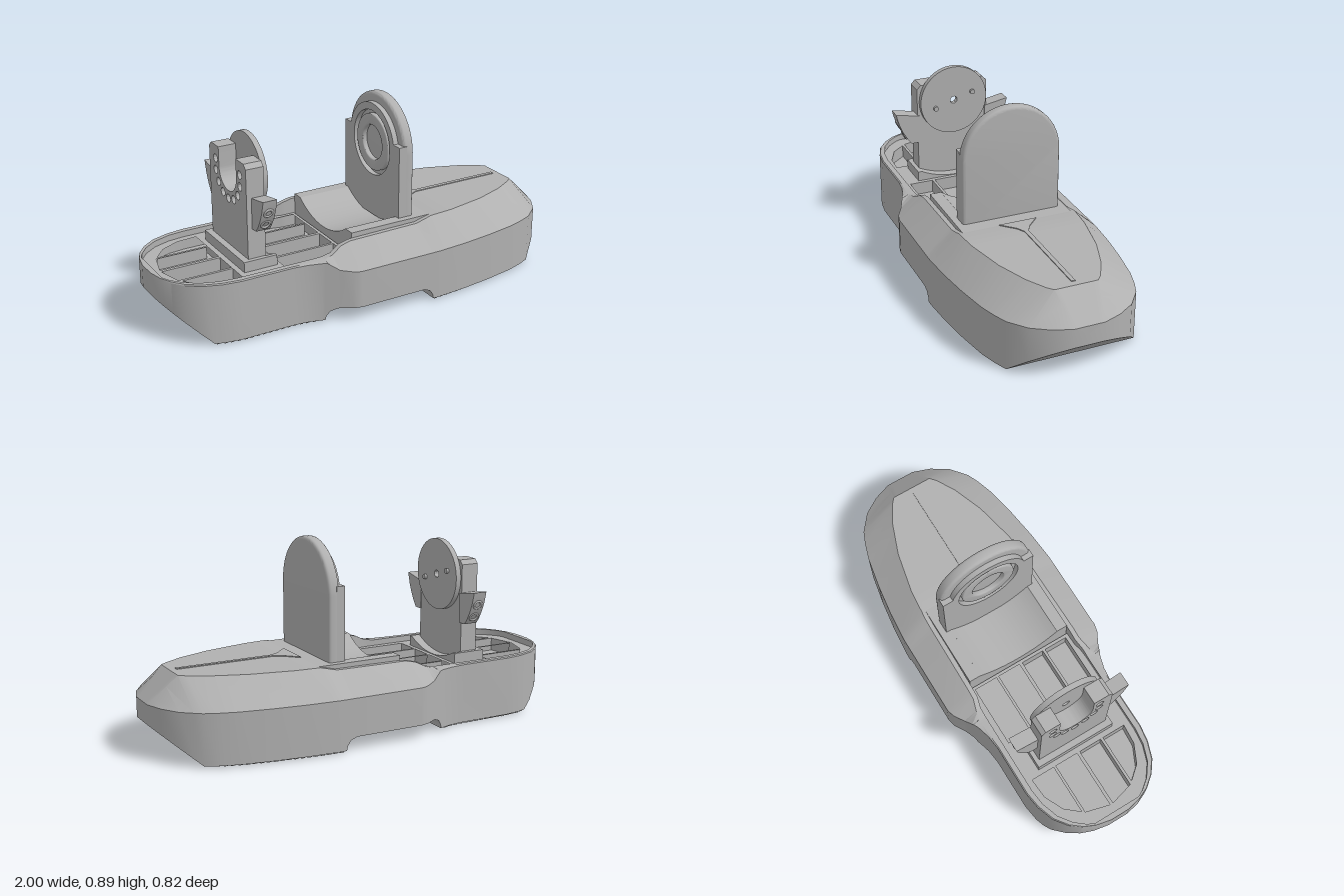
import * as THREE from 'three';
import { toCreasedNormals } from 'three/addons/utils/BufferGeometryUtils.js';

const grey = new THREE.MeshStandardMaterial({ color: 0xb0b0b0 });
grey.name = 'plain grey';

const AXIS = 0.655; // height of the shared axis of disc, ring and cradle

// Profile tables along x: [x, value]
const WALL = [[-1, .05], [-.985, .12], [-.96, .175], [-.92, .225], [-.86, .27], [-.78, .298], [-.7, .31], [-.45, .31],
  [-.38, .318], [-.32, .335], [-.25, .37], [-.2, .4], [-.16, .41], [.25, .41], [.4, .398], [.55, .378], [.7, .35],
  [.78, .325], [.84, .3], [.92, .235], [.97, .155], [1, .07]];
const TOP_EDGE = [[-.45, .305], [-.38, .31], [-.3, .315], [-.25, .305], [-.2, .29], [.25, .285], [.4, .272], [.6, .23],
  [.75, .175], [.84, .125], [.87, .1], [1, .07]];
const BOTTOM = [[-1, .18], [-.82, .008], [-.31, .008], [-.305, .03], [-.29, .052], [-.26, .065], [.17, .065], [.2, .052],
  [.215, .03], [.22, .008], [.84, .008], [1, .148]];
const TOP = [[-1, .29], [-.3, .29], [-.25, .3], [-.2, .325], [-.15, .337], [.2, .34], [.24, .35], [.28, .36], [.87, .36], [1, .24]];
const CREASE = [[-1, .285], [-.3, .285], [-.25, .25], [-.18, .24], [1, .24]];

function at(table, x) {
  let i = 1;
  while (i < table.length - 1 && table[i][0] < x) i++;
  const [a, b] = [table[i - 1], table[i]];
  const t = THREE.MathUtils.clamp((x - a[0]) / (b[0] - a[0]), 0, 1);
  return a[1] + (b[1] - a[1]) * t;
}
const topEdge = x => (x < -.45 ? at(WALL, x) - .005 : at(TOP_EDGE, x));
const inner = x => Math.min(topEdge(x) - .022, .28);

function mesh(name, geometry, parent) {
  const m = new THREE.Mesh(geometry, grey);
  m.name = name;
  parent.add(m);
  return m;
}
const poly = pts => new THREE.Shape(pts.map(p => new THREE.Vector2(p[0], p[1])));
const mirrored = half => [...half, ...half.slice().reverse().map(([a, b]) => [-a, b])];
function circleHole(shape, x, y, r) {
  const p = new THREE.Path();
  p.absarc(x, y, r, 0, Math.PI * 2, true);
  shape.holes.push(p);
}
// Shape drawn in (x, z), hanging down from a top height
const slab = (shape, top, depth) =>
  new THREE.ExtrudeGeometry(shape, { depth, bevelEnabled: false }).rotateX(Math.PI / 2).translate(0, top, 0);
// Shape drawn in (-z, y), extruded along x
function alongX(shape, x0, x1, bevel = 0) {
  const g = new THREE.ExtrudeGeometry(shape, {
    depth: x1 - x0 - 2 * bevel, curveSegments: 32, bevelEnabled: bevel > 0,
    bevelSize: bevel, bevelThickness: bevel, bevelOffset: -bevel, bevelSegments: 3,
  }).rotateY(Math.PI / 2).translate(x0 + bevel, 0, 0);
  return toCreasedNormals(g, .6);
}

// Hull lofted from cross-sections, with a sunken tray between two x positions
function hullGeometry() {
  const from = -.975, to = .15;
  const xs = new Set([WALL, TOP_EDGE, BOTTOM, TOP, CREASE].flatMap(t => t.map(p => p[0])));
  const stations = [...xs].map(x => [x, x > from && x < to]);
  stations.push([from, false], [from, true], [to, true], [to, false]);
  stations.sort((a, b) => a[0] - b[0] || (a[0] === from ? a[1] - b[1] : b[1] - a[1]));
  const pos = [], idx = [];
  let n = 0;
  for (const [x, sunk] of stations) {
    const w = at(WALL, x), yb = at(BOTTOM, x), yt = at(TOP, x), wi = Math.max(inner(x), .01);
    const yd = sunk ? .2 : yt;
    const half = [[w, yb], [w, at(CREASE, x)], [topEdge(x), yt], [wi, yt], [wi, yd]];
    const ring = mirrored(half);
    n = ring.length;
    ring.forEach(([z, y]) => pos.push(x, y, z));
  }
  const rows = stations.length;
  for (let i = 0; i < rows - 1; i++) for (let j = 0; j < n; j++) {
    const a = i * n + j, b = i * n + (j + 1) % n;
    idx.push(a, a + n, b, b, a + n, b + n);
  }
  // End caps
  const last = (rows - 1) * n, c = pos.length / 3;
  pos.push(-1, .235, 0, 1, .2, 0);
  for (let j = 0; j < n; j++) {
    const k = (j + 1) % n;
    idx.push(c, j, k, c + 1, last + k, last + j);
  }
  const g = new THREE.BufferGeometry();
  g.setAttribute('position', new THREE.Float32BufferAttribute(pos, 3));
  g.setIndex(idx);
  return toCreasedNormals(g, .45);
}

function addBase(root) {
  mesh('hull', hullGeometry(), root);

  // Ribbed tray with open cells
  const edge = [-.972, -.96, -.92, -.86, -.78, -.7, -.45, -.3, -.135].map(x => [x, inner(x) + .002]);
  const tray = poly([...edge, ...edge.slice().reverse().map(([x, z]) => [x, -z])]);
  const cells = [
    [[-.45, .008], [-.15, .008], [-.15, .122], [-.45, .122]],
    [[-.45, .135], [-.15, .135], [-.15, .25], [-.45, .25]],
    [[-.935, .008], [-.655, .008], [-.655, .122], [-.905, .122]],
    [[-.895, .135], [-.655, .135], [-.655, .25], [-.75, .243], [-.84, .2]],
  ];
  for (const s of [1, -1]) for (const cell of cells)
    tray.holes.push(new THREE.Path(cell.map(([x, z]) => new THREE.Vector2(x, z * s))));
  mesh('ribbedTray', slab(tray, .262, .065), root);

  // Curved cradle and the raised pad behind it
  const r = .362, a = Math.asin(.21 / r);
  const cradle = new THREE.Shape();
  cradle.moveTo(-.265, .2).lineTo(.265, .2).lineTo(.265, .36).lineTo(.21, .36);
  cradle.absarc(0, AXIS, r, -Math.PI / 2 + a, -Math.PI / 2 - a, true);
  cradle.lineTo(-.265, .36);
  mesh('cradle', alongX(cradle, -.13, .15), root);
  mesh('pad', new THREE.BoxGeometry(.13, .06, .53).translate(.215, .33, 0), root);

  // Tapered spine on the nose
  const spine = [[.28, .09], [.31, .06], [.34, .03], [.38, .01], [.84, .009]];
  mesh('spine', slab(poly([...spine, ...spine.slice().reverse().map(([x, z]) => [x, -z])]), .364, .008), root);

  // Zigzag tread under both feet
  const tread = new THREE.Group();
  tread.name = 'tread';
  root.add(tread);
  for (const [x0, x1] of [[-.81, -.35], [.23, .8]]) for (let x = x0; x < x1; x += .03) {
    const w = Math.min(at(WALL, x), at(WALL, x + .04)) - .008, front = [], back = [];
    for (let i = 0; i <= 14; i++) {
      const z = -w + 2 * w * i / 14, dx = i % 2 ? .022 : 0;
      front.push([x + dx, z]);
      back.unshift([x + dx + .016, z]);
    }
    mesh('treadRib', slab(poly([...front, ...back]), .009, .009), tread);
  }
  for (const x of [-.1, .07]) for (const z of [-.14, .14])
    mesh('footScrew', new THREE.CylinderGeometry(.028, .028, .01, 24).translate(x, .064, z), root);
}

function addBackPlate(root) {
  const arch = (half, spring, radius) => {
    const s = new THREE.Shape();
    s.moveTo(-half, .3).lineTo(half, .3).lineTo(half, spring);
    const a = Math.max(0, Math.asin((spring - AXIS) / radius));
    s.absarc(0, AXIS, radius, a, Math.PI - a, false);
    s.lineTo(-half, spring);
    return s;
  };
  mesh('backPlate', alongX(arch(.235, AXIS, .235), .16, .213, .014), root);
  const facing = arch(.235, .7, .19);
  circleHole(facing, 0, AXIS, .155);
  mesh('plateFacing', alongX(facing, .135, .175), root);
  const ring = new THREE.Shape();
  ring.absarc(0, AXIS, .135, 0, Math.PI * 2, false);
  circleHole(ring, 0, AXIS, .082);
  mesh('bearingRing', alongX(ring, .137, .165, .006), root);
}

function addPost(root) {
  // Post with a U notch and a ring of holes
  const post = new THREE.Shape();
  post.moveTo(-.18, .22).lineTo(.18, .22).lineTo(.18, .725).lineTo(.16, .745).lineTo(.085, .745).lineTo(.085, AXIS);
  post.absarc(0, AXIS, .085, 0, Math.PI, true);
  post.lineTo(-.085, .745).lineTo(-.16, .745).lineTo(-.18, .725);
  for (let i = 0; i < 9; i++) {
    const t = Math.PI * (1 + (i - .5) / 7);
    circleHole(post, Math.cos(t) * .122, AXIS + Math.sin(t) * .122, .019);
  }
  mesh('post', alongX(post, -.6, -.515), root);

  // Foot, hollowed towards the cradle
  mesh('postFoot', new THREE.BoxGeometry(.11, .11, .4).translate(-.575, .255, 0), root);
  const r = .39, a = Math.acos((AXIS - .31) / r), foot = new THREE.Shape();
  foot.moveTo(-.2, .2).lineTo(.2, .2).lineTo(.2, .31);
  foot.absarc(0, AXIS, r, -Math.PI / 2 + a, -Math.PI / 2 - a, true);
  foot.lineTo(-.2, .31);
  mesh('hollowFoot', alongX(foot, -.52, -.47), root);

  // Disc with a centre hole and two pins
  const disc = new THREE.Shape();
  disc.absarc(0, AXIS, .17, 0, Math.PI * 2, false);
  circleHole(disc, 0, AXIS, .018);
  mesh('disc', alongX(disc, -.516, -.49), root);
  for (const s of [1, -1])
    mesh('discPin', new THREE.CylinderGeometry(.012, .012, .02, 16).rotateZ(Math.PI / 2)
      .translate(-.488, AXIS - s * .03, s * .095), root);

  // Side lugs with two screws each
  for (const s of [1, -1]) {
    const lug = poly([[.17, .45], [.215, .45], [.235, .475], [.258, .515], [.275, .555], [.285, .59], [.29, .612], [.17, .59]]
      .map(([z, y]) => [-z * s, y]));
    mesh('sideLug', alongX(lug, -.577, -.51), root);
    for (const [y, z] of [[.55, .272], [.488, .242]])
      mesh('lugScrew', new THREE.TorusGeometry(.019, .006, 8, 24).rotateX(s * .42).translate(-.543, y, s * z), root);
  }
}

export function createModel() {
  const root = new THREE.Group();
  root.name = 'cradleStand';
  addBase(root);
  addBackPlate(root);
  addPost(root);
  return root;
}
